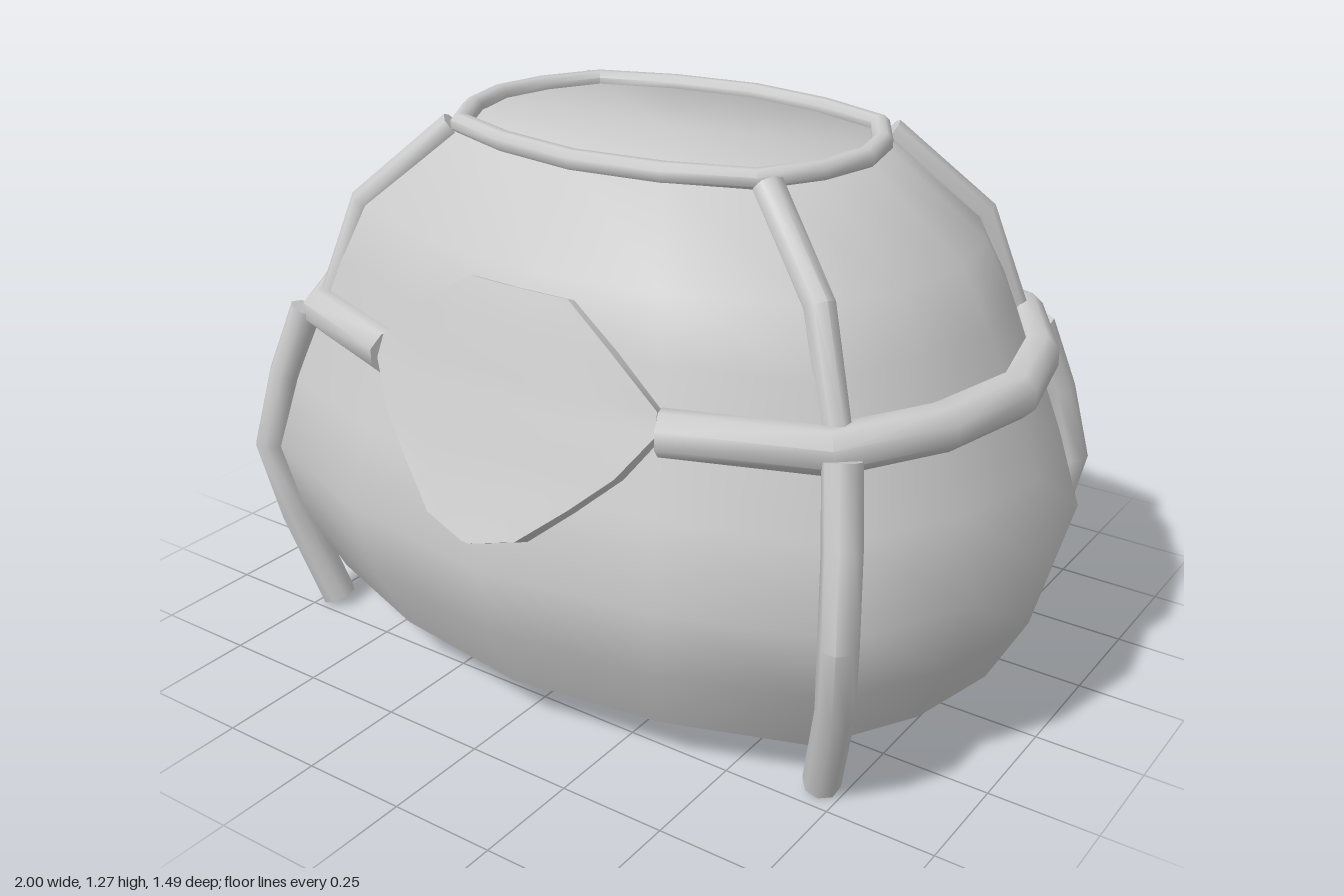
import * as THREE from 'three';
import { toCreasedNormals } from 'three/addons/utils/BufferGeometryUtils.js';

const V = (x, y, z) => new THREE.Vector3(x, y, z);

// Skin a list of equal-sized rings; rings turn anticlockwise about the sweep direction
function loft(rings, closed = false) {
  const n = rings[0].length, m = rings.length, pts = rings.flat(), index = [];
  for (let i = 0; i < (closed ? m : m - 1); i++) {
    for (let j = 0; j < n; j++) {
      const k = (j + 1) % n, a = i * n, b = ((i + 1) % m) * n;
      index.push(a + j, a + k, b + j, a + k, b + k, b + j);
    }
  }
  if (!closed) {
    for (const end of [0, m - 1]) {
      const c = pts.length, a = end * n;
      pts.push(rings[end].reduce((s, p) => s.add(p), V(0, 0, 0)).divideScalar(n));
      for (let j = 0; j < n; j++) {
        const k = (j + 1) % n;
        if (end) index.push(c, a + j, a + k);
        else index.push(c, a + k, a + j);
      }
    }
  }
  const geo = new THREE.BufferGeometry().setFromPoints(pts);
  geo.setIndex(index);
  return toCreasedNormals(geo, 0.9);
}

// Round bar along a polyline with mitred joints
function bar(points, radius, ref, closed = false, sides = 8) {
  const m = points.length;
  const rings = points.map((p, i) => {
    const prev = closed ? points[(i + m - 1) % m] : points[Math.max(i - 1, 0)];
    const next = closed ? points[(i + 1) % m] : points[Math.min(i + 1, m - 1)];
    const t = next.clone().sub(prev).normalize();
    const u = ref.clone().cross(t).normalize(), v = t.clone().cross(u);
    return Array.from({ length: sides }, (_, k) => {
      const a = (k + 0.5) / sides * Math.PI * 2;
      return p.clone().addScaledVector(u, radius * Math.cos(a)).addScaledVector(v, radius * Math.sin(a));
    });
  });
  return loft(rings, closed);
}

// Sixteen-sided rounded-oval section, built from one quarter
const quarter = [[1, 0], [0.94, 0.37], [0.79, 0.73], [0.42, 0.915], [0, 1]];
function oval(rx, rz, y, cz) {
  return Array.from({ length: 16 }, (_, k) => {
    const q = Math.floor(k / 4), s = k % 4;
    const [a, b] = quarter[q % 2 ? 4 - s : s];
    const sx = q === 1 || q === 2 ? -1 : 1, sz = q < 2 ? -1 : 1;
    return V(sx * a * rx, y, sz * b * rz + cz);
  });
}

export function createModel() {
  const group = new THREE.Group();
  const material = new THREE.MeshStandardMaterial({ color: 0xcccccc });
  const add = (name, geo) => {
    const mesh = new THREE.Mesh(geo, material);
    mesh.name = name;
    group.add(mesh);
    return mesh;
  };

  // Domed shell, closed at top and bottom
  const profile = [
    [0.1, 0.865, 0.618], [0.27, 0.955, 0.7], [0.44, 1, 0.738], [0.62, 0.945, 0.682],
    [0.79, 0.87, 0.622], [0.92, 0.815, 0.583], [1.05, 0.745, 0.535], [1.24, 0.505, 0.365],
  ];
  add('shell', loft(profile.map(([y, rx, rz]) => oval(rx, rz, y, -0.008))));

  // Rim around the top, and waist band left open behind the front plate
  const up = V(0, 1, 0);
  add('topRim', bar(oval(0.5, 0.36, 1.245, -0.008), 0.025, up, true));
  const waist = oval(0.873, 0.628, 0.79, -0.02);
  add('waistBand', bar([...waist.slice(13), ...waist.slice(0, 12)], 0.053, up));

  // Upper ribs between the rim and the band
  for (const sx of [1, -1]) {
    for (const sz of [1, -1]) {
      const path = [[0.42, 1.235, 0.26], [0.61, 1.05, 0.37], [0.685, 0.81, 0.42]]
        .map(([x, y, z]) => V(sx * x, y, sz * z - 0.01));
      add('upperRib', bar(path, 0.035, V(0, 0, 1)));
    }
  }

  // Bowed legs: two at the front, repeated at the back by a half turn
  const legs = {
    leftLeg: [[0.73, 0.785, 0.46], [0.765, 0.62, 0.51], [0.79, 0.44, 0.555], [0.765, 0.25, 0.51], [0.7, 0.011, 0.435]],
    rightLeg: [[-0.735, 0.785, 0.45], [-0.785, 0.62, 0.49], [-0.82, 0.44, 0.525], [-0.785, 0.25, 0.495], [-0.71, 0.011, 0.45]],
  };
  for (const [name, path] of Object.entries(legs)) {
    const geo = bar(path.map(p => V(...p)), 0.042, V(0, 0, 1));
    add(name + 'Front', geo);
    add(name + 'BackOpposite', geo).rotation.y = Math.PI;
  }

  // Pointed front plate: rows of height, half width, depth and thickness
  const rows = [
    [0.51, 0.01, 0.745, 0.08], [0.54, 0.12, 0.732, 0.08], [0.62, 0.22, 0.695, 0.08], [0.7, 0.31, 0.665, 0.07],
    [0.79, 0.375, 0.632, 0.06], [0.84, 0.37, 0.612, 0.05], [0.94, 0.25, 0.584, 0.04], [1.02, 0.13, 0.55, 0.03],
  ];
  const steps = [-1, -0.6, -0.2, 0.2, 0.6, 1];
  add('frontPlate', loft(rows.map(([y, w, z, t]) => {
    const front = steps.map(s => V(s * w, y, z - 0.3 * (s * w) ** 2));
    const back = front.map(p => V(p.x, p.y - 0.4 * t, p.z - 0.92 * t)).reverse();
    return [...front, ...back];
  })));

  // Flared pegs hanging from the back of the band
  const peg = new THREE.LatheGeometry([
    [0, 0], [0.036, 0], [0.036, 0.13], [0.05, 0.19], [0.08, 0.235], [0.1, 0.26], [0, 0.27],
  ].map(([x, y]) => new THREE.Vector2(x, y)), 10);
  peg.scale(1, 1, 0.85);
  const pegGeo = toCreasedNormals(peg, 0.9);
  for (const s of [1, -1]) {
    const mesh = add('backPeg', pegGeo);
    mesh.position.set(s * 0.53, 0.515, -0.615);
    mesh.rotation.set(0.2, s * 0.25, 0, 'YXZ');
  }
  return group;
}
